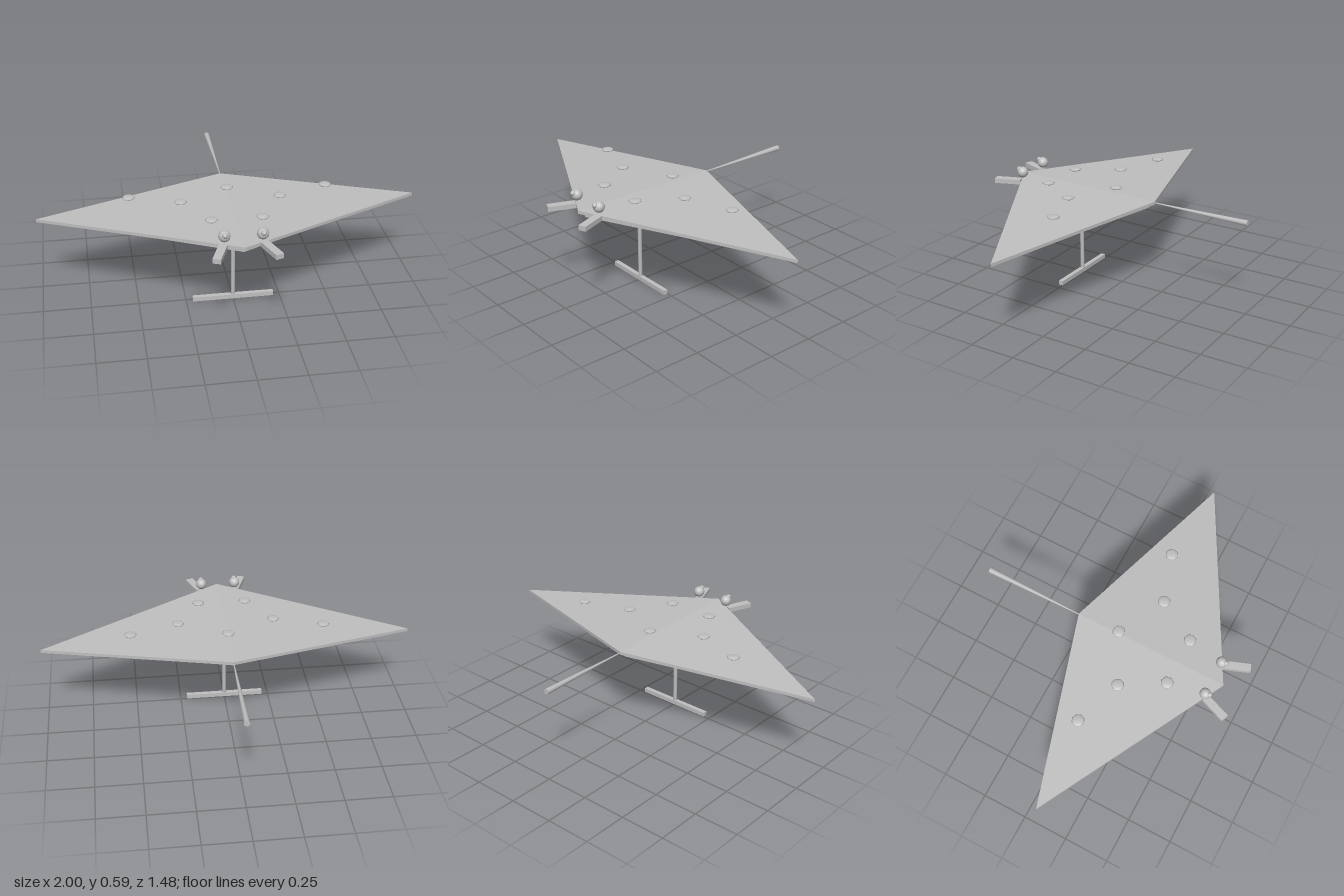
import * as THREE from 'three';

export function createModel() {
  const model = new THREE.Group();
  model.name = 'rayOnStand';
  const grey = new THREE.MeshStandardMaterial({ color: 0xc0c0c0 });
  grey.name = 'plain grey';

  const add = (name, geometry, x = 0, y = 0, z = 0) => {
    const mesh = new THREE.Mesh(geometry, grey);
    mesh.name = name;
    mesh.position.set(x, y, z);
    model.add(mesh);
    return mesh;
  };

  // Drooping rhombic slab: corners run nose, left wing, tail, right wing
  const slab = (corners, thickness) => {
    const top = corners.map(c => new THREE.Vector3(...c));
    const low = top.map(v => v.clone().setY(v.y - thickness));
    const [n, l, t, r] = top;
    const [n2, l2, t2, r2] = low;
    const tris = [n, l, t, n, t, r, n2, t2, l2, n2, r2, t2];
    for (let i = 0; i < 4; i++) {
      const j = (i + 1) % 4;
      tris.push(low[i], low[j], top[j], low[i], top[j], top[i]);
    }
    const g = new THREE.BufferGeometry().setFromPoints(tris);
    g.computeVertexNormals();
    return g;
  };

  add('body', slab([[0, 0.522, 0.645], [1, 0.47, 0.105], [0, 0.512, -0.2], [-1, 0.47, 0.105]], 0.017));
  add('belly', slab([[0, 0.487, 0.605], [0.91, 0.457, 0.11], [0, 0.482, -0.162], [-0.91, 0.457, 0.11]], 0.012));

  // Tail, thickening toward its end
  const tail = new THREE.CylinderGeometry(0.003, 0.016, 0.54, 8);
  tail.rotateX(Math.PI / 2);
  add('tail', tail, 0, 0.506, -0.47);

  // Flattened spots hovering just above the back
  const spot = new THREE.SphereGeometry(0.034, 8, 6);
  spot.scale(1, 0.25, 1);
  add('spot', spot, 0, 0.546, 0.038);
  const eye = new THREE.SphereGeometry(0.03, 12, 10);
  const pupil = new THREE.SphereGeometry(0.015, 8, 6);
  const fin = new THREE.BoxGeometry(0.042, 0.026, 0.145);

  for (const s of [1, -1]) {
    for (const [x, z] of [[0.52, 0.082], [0.26, 0.17], [0.13, 0.387]]) {
      add('spot', spot, s * x, 0.546, z);
    }
    add('eye', eye, s * 0.095, 0.56, 0.585);
    add('pupil', pupil, s * 0.095, 0.574, 0.608);
    // Head fins, splayed outward
    add('headFin', fin, s * 0.127, 0.507, 0.661).rotation.y = s * 0.36;
  }

  // Stand
  add('standPole', new THREE.CylinderGeometry(0.011, 0.011, 0.46, 8), 0, 0.25, 0.262);
  add('standBase', new THREE.BoxGeometry(0.432, 0.024, 0.024), 0, 0.012, 0.262);

  return model;
}
